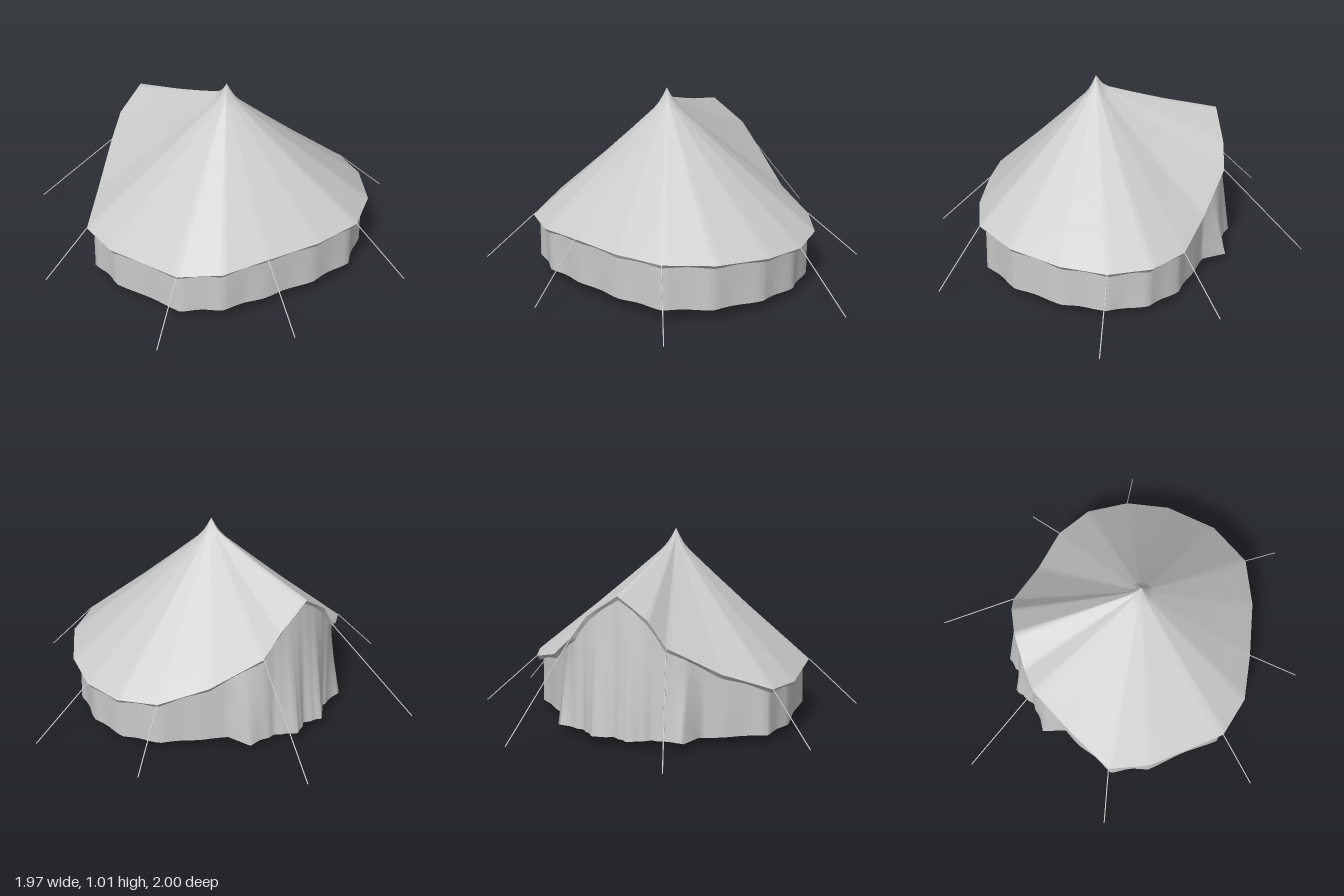
import * as THREE from 'three';

const material = new THREE.MeshStandardMaterial({ color: 0xcccccc, side: THREE.DoubleSide });
const APEX = new THREE.Vector3(0.065, 1.01, 0.075);

// Corners of the roof edge, starting at the doorway peak and going round by the back
const CORNERS = [
  [-0.6, 0.76, 0.08], [-0.59, 0.64, -0.1], [-0.57, 0.52, -0.2], [-0.4, 0.37, -0.41],
  [-0.24, 0.3, -0.62], [-0.05, 0.29, -0.72], [0.18, 0.29, -0.72], [0.4, 0.31, -0.63],
  [0.62, 0.33, -0.44], [0.74, 0.34, -0.2], [0.71, 0.335, 0.06], [0.62, 0.33, 0.34],
  [0.53, 0.31, 0.57], [0.37, 0.3, 0.73], [-0.05, 0.285, 0.8], [-0.27, 0.295, 0.77],
  [-0.42, 0.38, 0.56], [-0.57, 0.52, 0.33], [-0.59, 0.65, 0.24],
].map((p) => new THREE.Vector3(...p));

// Guy ropes: index of the roof corner, then the peg position
const ROPES = [
  [2, -0.99, 0.05, -0.33], [17, -0.99, 0.05, 0.52], [15, -0.35, 0.04, 1.0], [13, 0.48, 0.05, 0.97],
  [11, 0.89, 0.05, 0.43], [9, 0.98, 0.05, -0.32], [6, 0.28, 0.005, -1.0], [4, -0.36, 0.05, -0.87],
];

const SUB = 8;
const RIM = CORNERS.flatMap((p, i) => {
  const q = CORNERS[(i + 1) % CORNERS.length];
  return Array.from({ length: SUB }, (_, k) => p.clone().lerp(q, k / SUB));
});

// Closed skin through a list of rings with equal point counts
function loft(rings) {
  const n = rings[0].length, positions = [], index = [];
  rings.forEach((ring) => ring.forEach((p) => positions.push(p.x, p.y, p.z)));
  for (let r = 0; r < rings.length - 1; r++) {
    for (let i = 0; i < n; i++) {
      const j = (i + 1) % n;
      const a = r * n + i, b = r * n + j, c = a + n, d = b + n;
      index.push(a, b, c, b, d, c);
    }
  }
  const geometry = new THREE.BufferGeometry();
  geometry.setAttribute('position', new THREE.Float32BufferAttribute(positions, 3));
  geometry.setIndex(index);
  geometry.computeVertexNormals();
  return geometry;
}

function add(group, name, geometry) {
  const mesh = new THREE.Mesh(geometry, material);
  mesh.name = name;
  group.add(mesh);
  return mesh;
}

// How far the canvas hangs below a straight line from apex to edge
const SAG = [[0, 0], [0.03, 0.022], [0.06, 0.038], [0.1, 0.045], [0.3, 0.04], [0.55, 0.03], [0.8, 0.013], [0.95, 0.003], [1, 0]];

function roofPoint(p, t, sag) {
  const v = APEX.clone().lerp(p, t);
  v.y -= sag;
  return v;
}

// Foot of the wall below a point on its top edge
function wallFoot(top, i) {
  const foot = top.clone();
  foot.y = 0.05 + 0.03 * THREE.MathUtils.clamp((top.x - 0.1) / 0.62, 0, 1);
  const door = Math.max(0, 1 - ((top.z - 0.065) / 0.27) ** 2);
  if (top.x < -0.45) {
    // gathered door curtains
    const folds = 0.025 * Math.cos((top.z - 0.07) * 31.4) + 0.008 * Math.cos(top.z * 95);
    foot.x = Math.min(-0.57, top.x) - door * (0.07 - folds);
  } else {
    // shallow ripples along the plain wall
    const ripple = 1 + 0.008 * Math.sin(i * 0.8);
    foot.x *= ripple;
    foot.z *= ripple;
  }
  return foot;
}

export function createModel() {
  const tent = new THREE.Group();
  tent.name = 'bellTent';

  // Canvas roof
  add(tent, 'roof', loft(SAG.map(([t, s]) => RIM.map((p) => roofPoint(p, t, s)))));

  // Hem hanging from the roof edge, tucked inward
  const hem = [0, 0.5, 1].map((v) => RIM.map((p, i) => {
    const q = p.clone();
    const wave = 0.004 * Math.cos((i / SUB) * Math.PI * 2);
    q.y -= v * (0.018 + wave);
    q.x -= v * 0.012 * Math.sign(p.x);
    q.z -= v * 0.012 * Math.sign(p.z - 0.05) * Math.min(1, Math.abs(p.z - 0.05) * 4);
    return q;
  }));
  add(tent, 'roofHem', loft(hem));

  // Wall with the draped doorway
  const tops = RIM.map((p) => roofPoint(p, p.x < -0.5 ? 0.975 : 0.95, 0.004));
  const feet = tops.map(wallFoot);
  const rows = [0, 0.2, 0.4, 0.6, 0.8, 1];
  add(tent, 'wall', loft(rows.map((v) => tops.map((p, i) => p.clone().lerp(feet[i], v)))));

  // Ground sheet
  const middle = new THREE.Vector3(0.03, 0.052, 0.04);
  add(tent, 'groundSheet', loft([feet, feet.map(() => middle)]));

  // Guy ropes
  ROPES.forEach(([corner, x, y, z]) => {
    const line = new THREE.LineCurve3(CORNERS[corner], new THREE.Vector3(x, y, z));
    add(tent, 'guyRope', new THREE.TubeGeometry(line, 1, 0.003, 6));
  });

  return tent;
}
